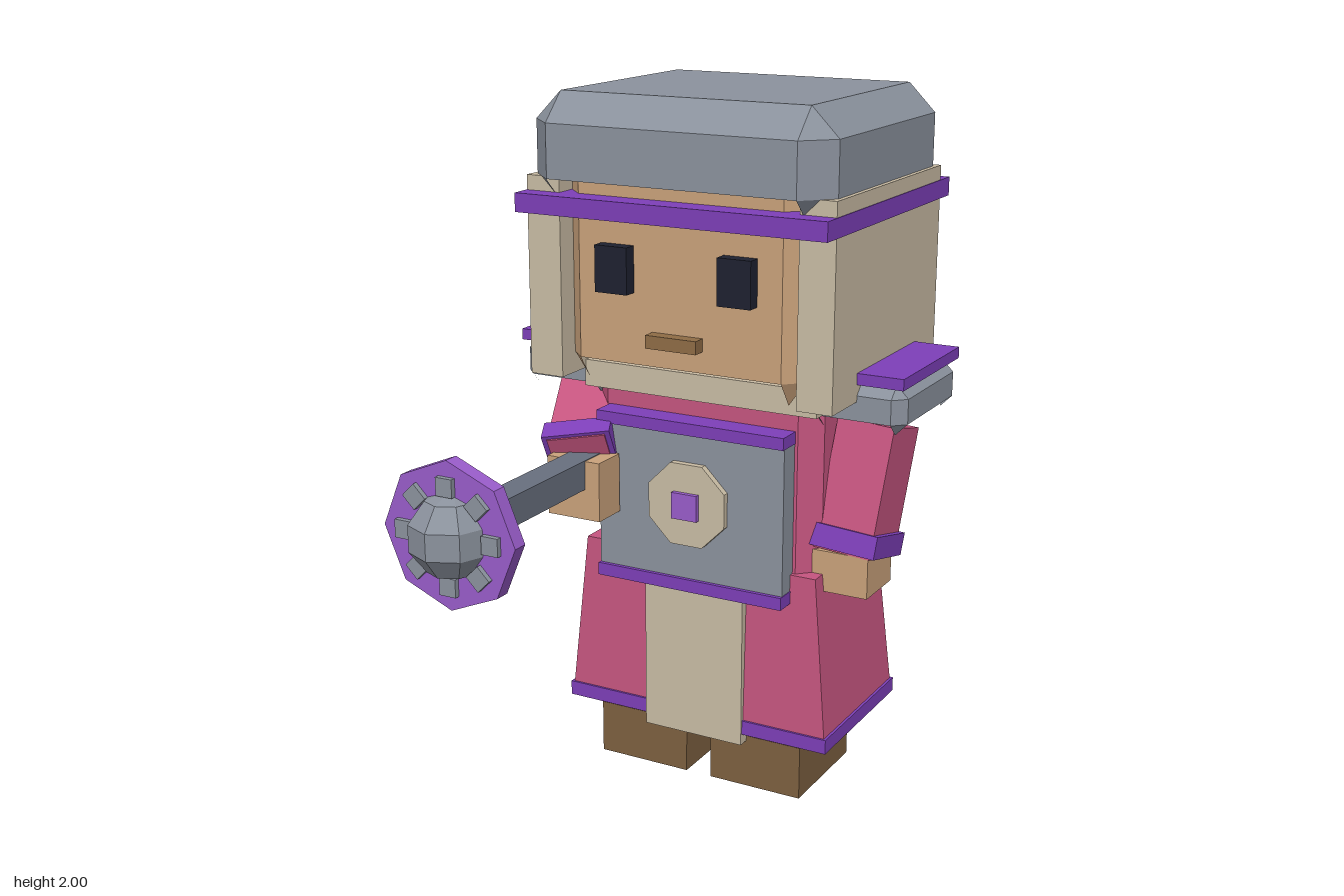
import * as THREE from 'three';

const mat = (name, color) => {
  const m = new THREE.MeshStandardMaterial({ color, flatShading: true, side: THREE.DoubleSide });
  m.name = name;
  return m;
};

// Box whose edges are bevelled at the top and sides; the underside is open,
// with four small corner triangles hanging below the walls.
function bevelShell([x0, x1], [y0, y1], [z0, z1], b, by) {
  const cx = (x0 + x1) / 2, cz = (z0 + z1) / 2, hw = (x1 - x0) / 2, hd = (z1 - z0) / 2;
  const ring = [], inner = [], pos = [];
  [[1, 1], [-1, 1], [-1, -1], [1, -1]].forEach(([sx, sz], k) => {
    const side = [cx + sx * hw, cz + sz * (hd - b)];
    const end = [cx + sx * (hw - b), cz + sz * hd];
    ring.push(...(k % 2 ? [end, side] : [side, end]));
    inner.push([cx + sx * (hw - b), cz + sz * (hd - b)]);
  });
  const at = (p, y) => [p[0], y, p[1]];
  const tri = (...pts) => pts.forEach((p) => pos.push(...p));
  const quad = (a, c, d, e) => { tri(a, c, d); tri(a, d, e); };
  const yt = y1 - by;
  for (let i = 0; i < 8; i++) {
    const p = ring[i], n = ring[(i + 1) % 8];
    quad(at(p, y0), at(p, yt), at(n, yt), at(n, y0));
  }
  for (let k = 0; k < 4; k++) {
    const a = ring[2 * k], c = ring[2 * k + 1], next = ring[(2 * k + 2) % 8];
    const t = inner[k], tn = inner[(k + 1) % 4];
    tri(at(a, yt), at(t, y1), at(c, yt));
    quad(at(c, yt), at(t, y1), at(tn, y1), at(next, yt));
    tri(at(a, y0), at(c, y0), at(t, y0 - by));
  }
  quad(at(inner[3], y1), at(inner[2], y1), at(inner[1], y1), at(inner[0], y1));
  const g = new THREE.BufferGeometry();
  g.setAttribute('position', new THREE.Float32BufferAttribute(pos, 3));
  g.computeVertexNormals();
  return g;
}

// Box from ranges; taper = ranges of the top face, open = no underside.
function boxGeo(x, y, z, { top, open } = {}) {
  const g = new THREE.BoxGeometry(1, 1, 1);
  const p = g.attributes.position;
  for (let i = 0; i < p.count; i++) {
    const up = p.getY(i) > 0;
    const [rx, rz] = up && top ? top : [x, z];
    p.setXYZ(i, rx[p.getX(i) > 0 ? 1 : 0], y[up ? 1 : 0], rz[p.getZ(i) > 0 ? 1 : 0]);
  }
  if (open) {
    const idx = Array.from(g.index.array);
    idx.splice(18, 6);
    g.setIndex(idx);
    g.clearGroups();
  }
  g.computeVertexNormals();
  return g;
}

export function createModel() {
  const steel = mat('steel', 0x8b929d), darkSteel = mat('dark steel', 0x686f7e);
  const purple = mat('purple', 0x7d3fb8), violet = mat('violet', 0x995cca);
  const pink = mat('pink cloth', 0xc5557f), beige = mat('beige cloth', 0xc9bca4);
  const skin = mat('skin', 0xcaa27b), boot = mat('boot brown', 0x7d6040);
  const mouthBrown = mat('mouth brown', 0x8f6c46), dark = mat('eye dark', 0x1e2130);

  const model = new THREE.Group();
  model.name = 'robedFigure';
  const add = (name, geo, m, parent = model) => {
    const mesh = new THREE.Mesh(geo, m);
    mesh.name = name;
    parent.add(mesh);
    return mesh;
  };
  const box = (name, m, x, y, z, opt) => add(name, boxGeo(x, y, z, opt), m);
  const mirror = (r, s) => (s > 0 ? r : [-r[1], -r[0]]);

  // Head and helmet
  add('head', bevelShell([-0.36, 0.36], [1.27, 1.83], [-0.67, 0.005], 0.05, 0.07), skin);
  add('helmetCap', bevelShell([-0.453, 0.453], [1.77, 2], [-0.745, 0.065], 0.08, 0.08), steel);
  box('helmetBand', purple, [-0.468, 0.468], [1.675, 1.728], [-0.76, 0.08]);
  box('mouth', mouthBrown, [-0.08, 0.075], [1.33, 1.367], [-0.01, 0.045]);

  // Robe
  add('torso', bevelShell([-0.357, 0.357], [0.66, 1.16], [-0.54, -0.125], 0.055, 0), pink);
  box('skirt', pink, [-0.417, 0.417], [0.2, 0.69], [-0.58, -0.096],
    { top: [[-0.37, 0.37], [-0.545, -0.112]], open: true });
  box('hem', purple, [-0.423, 0.423], [0.177, 0.22], [-0.585, -0.09], { open: true });
  box('tabard', beige, [-0.158, 0.158], [0.145, 0.64], [-0.135, -0.084]);
  box('collar', beige, [-0.365, 0.365], [1.155, 1.232], [-0.575, -0.105]);

  // Breastplate with trims and emblem
  box('breastplate', steel, [-0.293, 0.293], [0.62, 1.09], [-0.14, -0.06]);
  box('plateTopTrim', purple, [-0.295, 0.295], [1.07, 1.105], [-0.14, -0.048]);
  box('plateBottomTrim', purple, [-0.295, 0.295], [0.605, 0.642], [-0.14, -0.048]);
  const emblem = add('emblem', new THREE.CylinderGeometry(0.13, 0.13, 0.03, 8, 1, false, Math.PI / 8), beige);
  emblem.rotation.x = Math.PI / 2;
  emblem.position.set(0, 0.868, -0.055);
  box('emblemStud', violet, [-0.04, 0.04], [0.828, 0.905], [-0.06, -0.026]);

  // Paired parts
  for (const s of [1, -1]) {
    const side = s > 0 ? 'left' : 'right';
    box(side + 'HelmetFlap', beige, mirror([0.362, 0.466], s), [1.208, 1.77], [-0.695, 0.02]);
    box(side + 'Eye', dark, mirror([0.137, 0.237], s), [1.47, 1.6], [-0.01, 0.045]);
    add(side + 'ShoulderGuard',
      bevelShell(mirror([0.32, 0.6], s), [1.155, 1.26], [-0.54, -0.14], 0.035, 0.035), steel);
    box(side + 'ShoulderTrim', purple, mirror([0.33, 0.6], s), [1.256, 1.288], [-0.545, -0.137]);
    box(side + 'Boot', boot, mirror([0.04, 0.33], s), [0, 0.16], [-0.46, -0.12], { open: true });
    box(side + 'Legging', beige, mirror([0.06, 0.31], s), [0.15, 0.3], [-0.46, -0.2]);
  }

  // Arms: each sleeve runs from shoulder to wrist with a cuff at the end
  const arm = (side, from, to) => {
    const a = new THREE.Vector3(...from), dir = new THREE.Vector3(...to).sub(a);
    const len = dir.length(), g = new THREE.Group();
    g.name = side + 'Arm';
    g.position.copy(a);
    const y = dir.clone().normalize().negate();
    const x = new THREE.Vector3(1, 0, 0).addScaledVector(y, -y.x).normalize();
    g.quaternion.setFromRotationMatrix(
      new THREE.Matrix4().makeBasis(x, y, new THREE.Vector3().crossVectors(x, y)));
    add(side + 'Sleeve', boxGeo([-0.085, 0.085], [-len, 0], [-0.093, 0.093]), pink, g);
    add(side + 'Cuff', boxGeo([-0.1, 0.1], [0.005 - len, 0.07 - len], [-0.103, 0.103]), purple, g);
    model.add(g);
  };
  arm('left', [0.45, 1.1, -0.338], [0.425, 0.74, -0.25]);
  box('leftHand', skin, [0.335, 0.505], [0.64, 0.76], [-0.33, -0.16]);
  arm('right', [-0.45, 1.09, -0.32], [-0.325, 0.95, -0.02]);
  box('rightHand', skin, [-0.395, -0.225], [0.81, 0.983], [-0.055, 0.057]);

  // Mace held forward
  box('maceHandle', darkSteel, [-0.354, -0.271], [0.9, 0.985], [-0.1, 0.46]);
  const mace = new THREE.Group();
  mace.name = 'maceHead';
  mace.position.set(-0.313, 0.94, 0.628);
  add('maceBall', new THREE.SphereGeometry(0.13, 8, 5), steel, mace).scale.set(0.92, 0.92, 1);
  add('maceDisc', new THREE.CylinderGeometry(0.204, 0.204, 0.045, 8), violet, mace).rotation.x = Math.PI / 2;
  for (let i = 0; i < 8; i++) {
    const t = (i * Math.PI) / 4;
    const stud = add('maceStud', new THREE.BoxGeometry(0.05, 0.05, 0.075), steel, mace);
    stud.position.set(Math.cos(t) * 0.135, Math.sin(t) * 0.135, 0);
    stud.rotation.z = t;
  }
  model.add(mace);
  return model;
}
